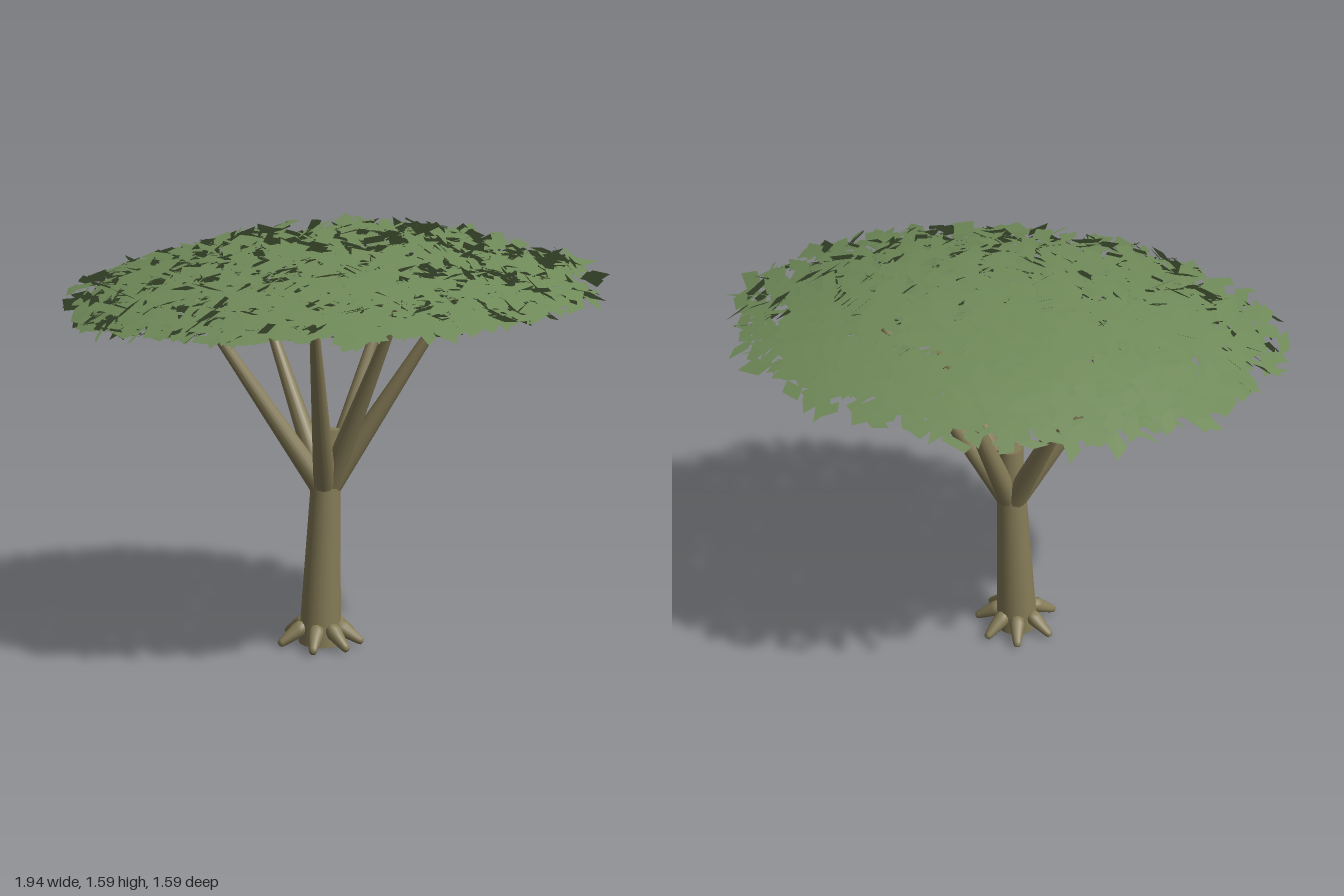
import * as THREE from 'three';

const bark = new THREE.MeshStandardMaterial({ color: 0x857b57 });
bark.name = 'bark';
const leafGreen = new THREE.MeshStandardMaterial({ color: 0x708a59, side: THREE.DoubleSide });
leafGreen.name = 'leafGreen';

const UP = new THREE.Vector3(0, 1, 0);

// Small seeded generator
let seed = 7;
function rand(min = 0, max = 1) {
  seed = (seed * 16807) % 2147483647;
  return min + (max - min) * (seed / 2147483647);
}

// Tapered round limb between two points
function limb(name, from, to, r0, r1, sides = 16) {
  const dir = to.clone().sub(from);
  const mesh = new THREE.Mesh(new THREE.CylinderGeometry(r1, r0, dir.length(), sides), bark);
  mesh.position.copy(from).addScaledVector(dir, 0.5);
  mesh.quaternion.setFromUnitVectors(UP, dir.normalize());
  mesh.name = name;
  return mesh;
}

// Root with rounded ends, leaning out and down from the trunk foot
function root(angle, foot) {
  const profile = [[0, 0], [0.012, 0.004], [0.016, 0.016], [0.03, 0.09], [0.027, 0.112], [0.016, 0.125], [0, 0.13]]
    .map(([r, y]) => new THREE.Vector2(r, y));
  const mesh = new THREE.Mesh(new THREE.LatheGeometry(profile, 12), bark);
  const out = new THREE.Vector3(Math.cos(angle), 0, Math.sin(angle));
  mesh.position.copy(foot).addScaledVector(out, 0.165).setY(0.01);
  mesh.quaternion.setFromUnitVectors(UP, out.multiplyScalar(-0.1).setY(0.062).normalize());
  mesh.name = 'root';
  return mesh;
}

// Flat dome of loose, tilted diamond leaves
function canopy(count) {
  const positions = [], normals = [], index = [];
  const p = new THREE.Vector3(), c = new THREE.Vector3(), n = new THREE.Vector3();
  const turn = new THREE.Quaternion(), lean = new THREE.Quaternion(), e = new THREE.Euler();
  for (let i = 0; i < count; i++) {
    const a = i * 2.399963;
    // Dense middle, ragged thinning rim, a little drawn in at the back left
    const r = ((i + rand()) / count) ** 0.54 * rand(0.86, 1.05) * (1 - 0.06 * Math.max(0, Math.cos(a + 0.8)));
    c.set(0.94 * r * Math.cos(a), 0, 0.76 * r * Math.sin(a));
    // Domed top, nearly flat underside, dipping towards the front right
    const top = 1.565 - 0.2 * r * r + 0.035 * c.x - 0.03 * c.z;
    const bottom = 1.185 + 0.06 * r ** 4 + 0.06 * Math.max(0, c.x) ** 2 - 0.04 * Math.max(0, -c.x) - 0.03 * c.z;
    c.y = bottom + (top - bottom) * rand();
    // Leaves lean with the dome and share its soft shading
    n.set(0.4 * c.x, 1, 0.5 * c.z).normalize();
    e.set(rand(-0.6, 0.6), rand(0, Math.PI * 2), rand(-0.6, 0.6), 'XZY');
    turn.setFromEuler(e).premultiply(lean.setFromUnitVectors(UP, n));
    const l = rand(0.042, 0.062), w = rand(0.027, 0.04), skew = rand(-0.018, 0.018);
    for (const [x, z] of [[-l, 0], [skew, w], [l, 0], [-skew, -w]]) {
      p.set(x, 0, z).applyQuaternion(turn).add(c);
      positions.push(p.x, p.y, p.z);
      normals.push(n.x, n.y, n.z);
    }
    const k = i * 4;
    index.push(k, k + 1, k + 2, k, k + 2, k + 3);
  }
  const geo = new THREE.BufferGeometry();
  geo.setAttribute('position', new THREE.Float32BufferAttribute(positions, 3));
  geo.setAttribute('normal', new THREE.Float32BufferAttribute(normals, 3));
  geo.setIndex(index);
  const mesh = new THREE.Mesh(geo, leafGreen);
  mesh.name = 'leaves';
  return mesh;
}

export function createModel() {
  seed = 7;
  const tree = new THREE.Group();
  tree.name = 'tree';

  // Leaning trunk with a blunt top
  const foot = new THREE.Vector3(-0.05, 0.002, 0.01);
  tree.add(limb('trunk', foot, new THREE.Vector3(-0.022, 0.81, 0), 0.08, 0.046, 20));

  // Roots around the foot, by compass angle
  for (const deg of [-48, 5, 45, 92, 150, 212, 265]) tree.add(root(THREE.MathUtils.degToRad(deg), foot));

  // Branches fan out to the canopy: [x, z] where each meets the leaves
  const start = new THREE.Vector3(-0.03, 0.57, 0);
  for (const [x, z] of [[-0.02, 0.37], [0.22, 0.17], [0.37, 0], [0.15, -0.22], [-0.28, -0.22], [-0.44, 0.08]]) {
    const end = start.clone().lerp(new THREE.Vector3(x, 1.2, z), 1.2);
    tree.add(limb('branch', start, end, 0.044, 0.012, 12));
  }

  tree.add(canopy(3300));
  return tree;
}
